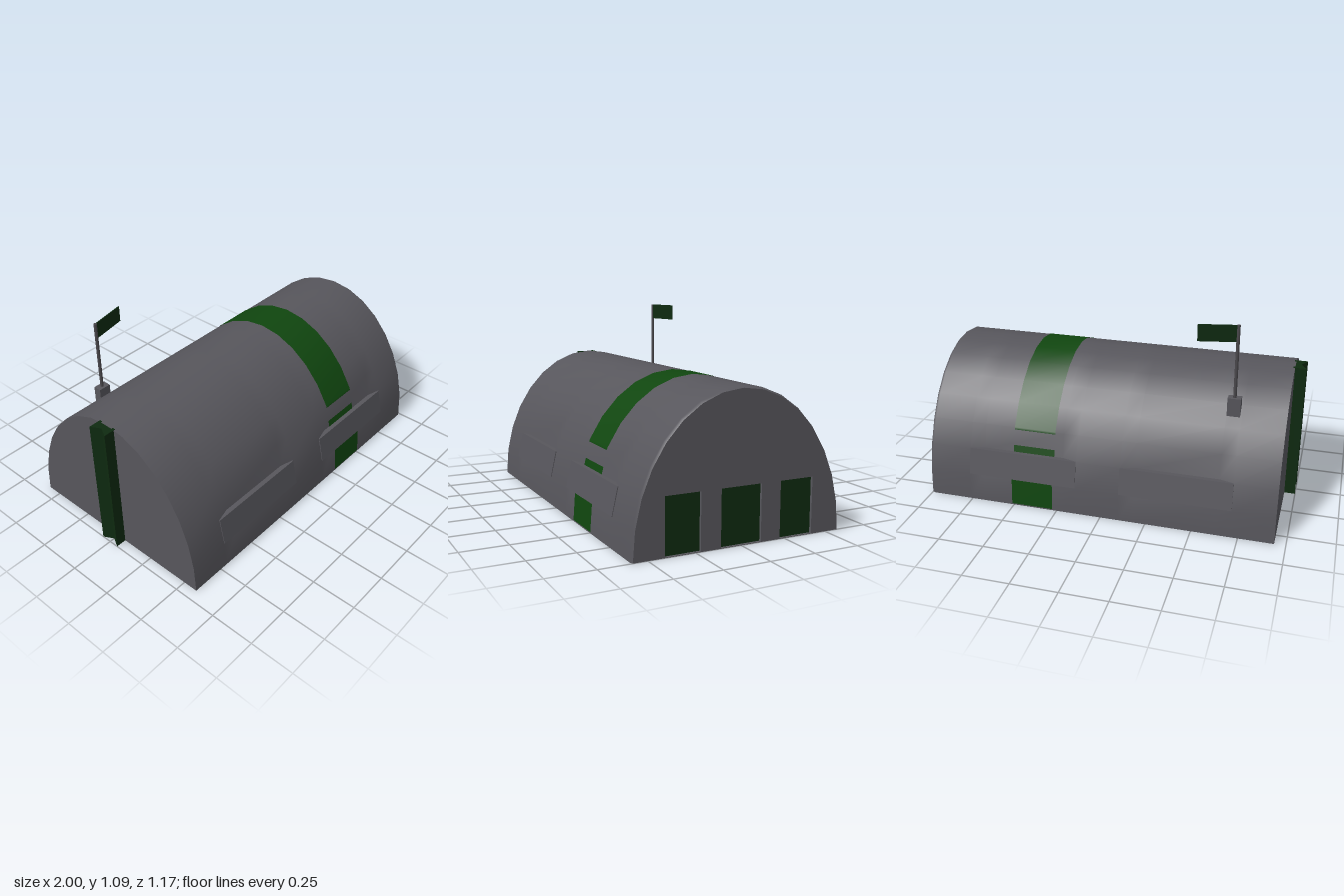
import * as THREE from 'three';

const R = 0.583, H = 0.777, SIDES = 16, BACK = -0.94, FRONT = 1;
const WINDOWS = [[-0.71, -0.1], [0.145, 0.76]];

const mat = (name, color, side = THREE.FrontSide) => {
  const m = new THREE.MeshStandardMaterial({ color, side });
  m.name = name;
  return m;
};

// Point on the faceted arch: t runs from 0 (+z foot) to SIDES (-z foot)
function ring(x, j) {
  const a = (j / SIDES) * Math.PI;
  const dented = (j === 2 || j === SIDES - 2) &&
    WINDOWS.some(([a0, b0]) => x > a0 + 0.05 && x < b0 - 0.05);
  const s = dented ? 0.96 : 1;
  return new THREE.Vector3(x, H * Math.sin(a), R * Math.cos(a) * s);
}
function archPoint(x, t) {
  const j = Math.min(Math.floor(t), SIDES - 1);
  return ring(x, j).lerp(ring(x, j + 1), t - j);
}

// Smooth curved sheet following the arch; grow lifts it off the wall
function archSheet(xs, t0, t1, grow = 0) {
  const ts = [t0];
  for (let j = Math.floor(t0) + 1; j < t1; j++) ts.push(j);
  ts.push(t1);
  const pos = [], idx = [], n = ts.length;
  xs.forEach((x, i) => ts.forEach((t, k) => {
    const p = archPoint(x, t);
    // the front rim is slightly rounded off
    const s = 1 + grow - (x === FRONT ? 0.012 : 0);
    pos.push(x, p.y * s, p.z * (grow ? Math.min(s, 1.003) : s));
    if (i && k) {
      const a = (i - 1) * n + k - 1, b = i * n + k - 1;
      idx.push(a, b, b + 1, a, b + 1, a + 1);
    }
  }));
  const g = new THREE.BufferGeometry();
  g.setAttribute('position', new THREE.Float32BufferAttribute(pos, 3));
  g.setIndex(idx);
  g.computeVertexNormals();
  return g;
}

const polygon = (pts) => new THREE.Shape(pts.map(([x, y]) => new THREE.Vector2(x, y)));
const extrude = (shape, depth) => new THREE.ExtrudeGeometry(shape, { depth, bevelEnabled: false });

export function createModel() {
  const model = new THREE.Group();
  const grey = mat('wall grey', 0x57565c, THREE.DoubleSide);
  const green = mat('stripe green', 0x10460f, THREE.DoubleSide);
  const dark = mat('dark green', 0x0e2a10, THREE.DoubleSide);
  const metal = mat('mast grey', 0x4a484c);

  const add = (name, geometry, material, x = 0, y = 0, z = 0) => {
    const m = new THREE.Mesh(geometry, material);
    m.name = name;
    m.position.set(x, y, z);
    model.add(m);
    return m;
  };

  // Barrel roof, open underneath
  const columns = [BACK, 0.985, FRONT];
  for (const [a, b] of WINDOWS) columns.push(a, a + 0.08, b - 0.08, b);
  columns.sort((a, b) => a - b);
  add('barrelRoof', archSheet(columns, 0, SIDES), grey);

  // Painted band over the roof, interrupted above the side panels
  const band = [[0.05, 1], [2, 2.28], [2.91, 13.09], [13.72, 14], [15, 15.95]];
  for (const [t0, t1] of band) add('roofStripe', archSheet([0.275, 0.51], t0, t1, 0.003), green);

  // Flat side panels on both long walls
  const section = polygon([[0.575, 0.154], [0.543, 0.299], [0.49, 0.299], [0.53, 0.154]]);
  for (const [a, b] of WINDOWS) {
    add('sidePanel', extrude(section, b - a).rotateY(-Math.PI / 2), grey, b);
    add('sidePanel', extrude(section, b - a).rotateY(Math.PI / 2), grey, a);
  }

  // Rear end wall
  const arch = (s) => {
    const pts = [];
    for (let j = 0; j <= SIDES; j++) {
      const p = ring(0, j);
      pts.push([R * Math.cos((j / SIDES) * Math.PI) * s, p.y * s]);
    }
    return polygon(pts);
  };
  add('rearWall', new THREE.ShapeGeometry(arch(1)).rotateY(-Math.PI / 2), grey, BACK);

  // Front end wall with three recessed doors
  const front = arch(0.988);
  for (const [z, w] of [[-0.318, 0.19], [0, 0.226], [0.318, 0.19]]) {
    const h = w / 2;
    front.holes.push(new THREE.Path(
      [[z - h, 0.003], [z - h, 0.295], [z + h, 0.295], [z + h, 0.003]]
        .map(([x, y]) => new THREE.Vector2(x, y))));
    add('door', new THREE.BoxGeometry(0.006, 0.292, w), dark, 0.983, 0.149, z);
  }
  add('frontWall', extrude(front, 0.02).rotateY(Math.PI / 2), grey, 0.98);

  // Grooved post up the rear wall
  const post = polygon([[-1, 0.055], [-0.93, 0.055], [-0.93, -0.055], [-1, -0.055], [-0.97, 0]]);
  add('rearPost', extrude(post, 0.772).rotateX(-Math.PI / 2), dark);

  // Mast with its foot and flag
  add('mastFoot', new THREE.BoxGeometry(0.07, 0.115, 0.045), grey, -0.665, 0.638, -0.348);
  add('mast', new THREE.CylinderGeometry(0.009, 0.009, 0.4, 8), metal, -0.665, 0.89, -0.348);
  const flag = add('flag', new THREE.BoxGeometry(0.204, 0.09, 0.005), dark, -0.565, 1.045, -0.368);
  flag.rotation.y = Math.atan2(0.04, 0.2);

  return model;
}
